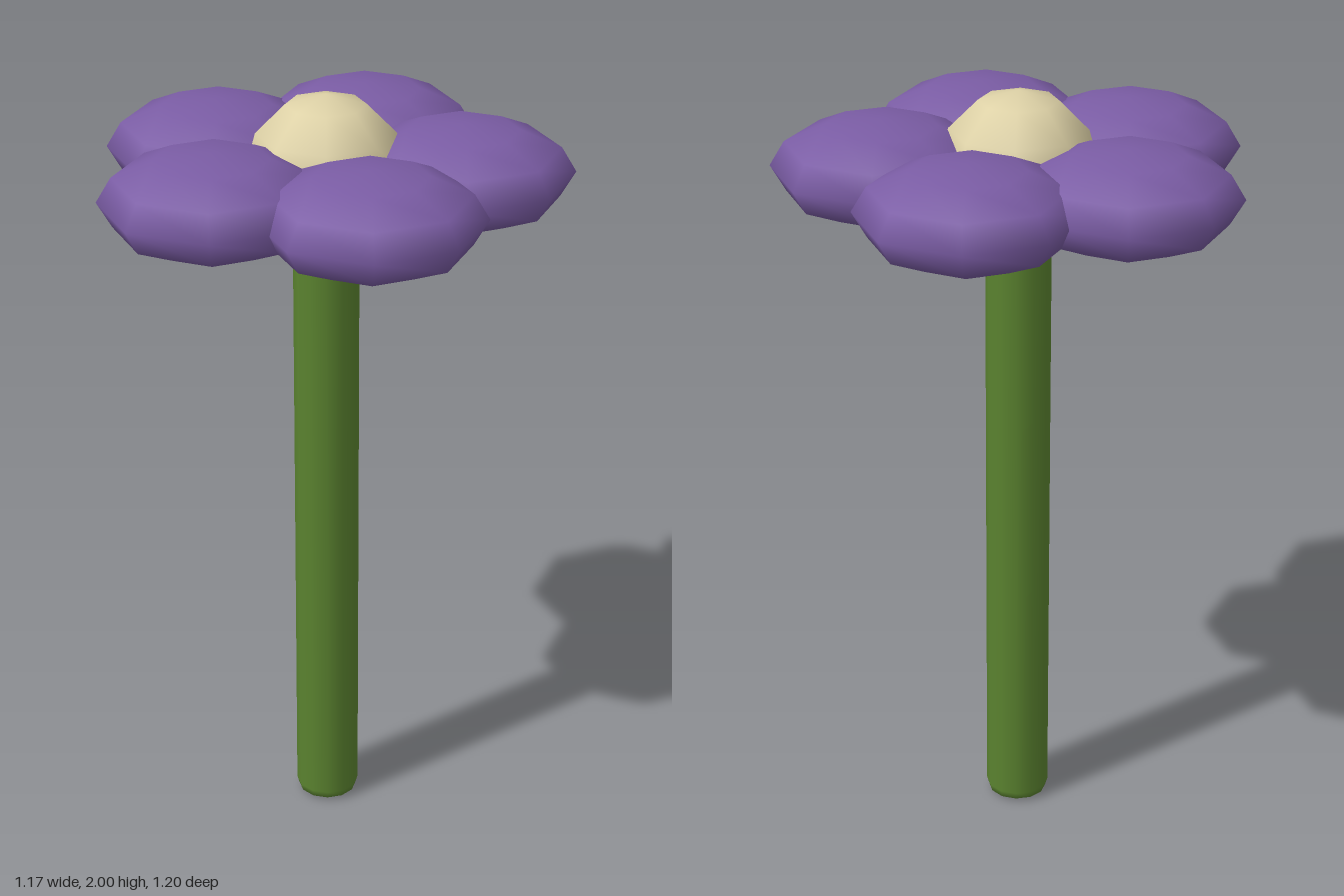
import * as THREE from 'three';

const CENTRE_X = -0.035; // stem axis: five petals are wider on one side
const HEAD_Y = 1.8;

const flat = (name, color) => {
  const m = new THREE.MeshStandardMaterial({ color });
  m.name = name;
  return m;
};

export function createModel() {
  const purple = flat('petal purple', 0x7a5ca4);
  const cream = flat('centre cream', 0xddd1a6);
  const green = flat('stem green', 0x5a822f);

  const flower = new THREE.Group();
  flower.name = 'flower';
  const add = (name, geometry, material, x, y, z) => {
    const mesh = new THREE.Mesh(geometry, material);
    mesh.name = name;
    mesh.position.set(x, y, z);
    flower.add(mesh);
  };

  // Stem: round bar with softened ends
  const profile = [
    [0, 0], [0.062, 0.002], [0.077, 0.01], [0.083, 0.03],
    [0.083, 1.6], [0.077, 1.62], [0.062, 1.628], [0, 1.63],
  ].map(([r, y]) => new THREE.Vector2(r, y));
  add('stem', new THREE.LatheGeometry(profile, 12), green, CENTRE_X, 0, 0);

  // Flower centre: low-sided ball
  add('flowerCentre', new THREE.SphereGeometry(0.2, 8, 6), cream, CENTRE_X, HEAD_Y, 0);

  // Petals: five flattened balls in a ring, all facing the same way
  const petal = new THREE.SphereGeometry(0.28, 8, 6).scale(1, 0.45, 1);
  for (let i = 0; i < 5; i++) {
    const a = (i * Math.PI * 2) / 5;
    add(`petal${i + 1}`, petal, purple,
      CENTRE_X + Math.cos(a) * 0.336, HEAD_Y - 0.003, Math.sin(a) * 0.336);
  }
  return flower;
}
